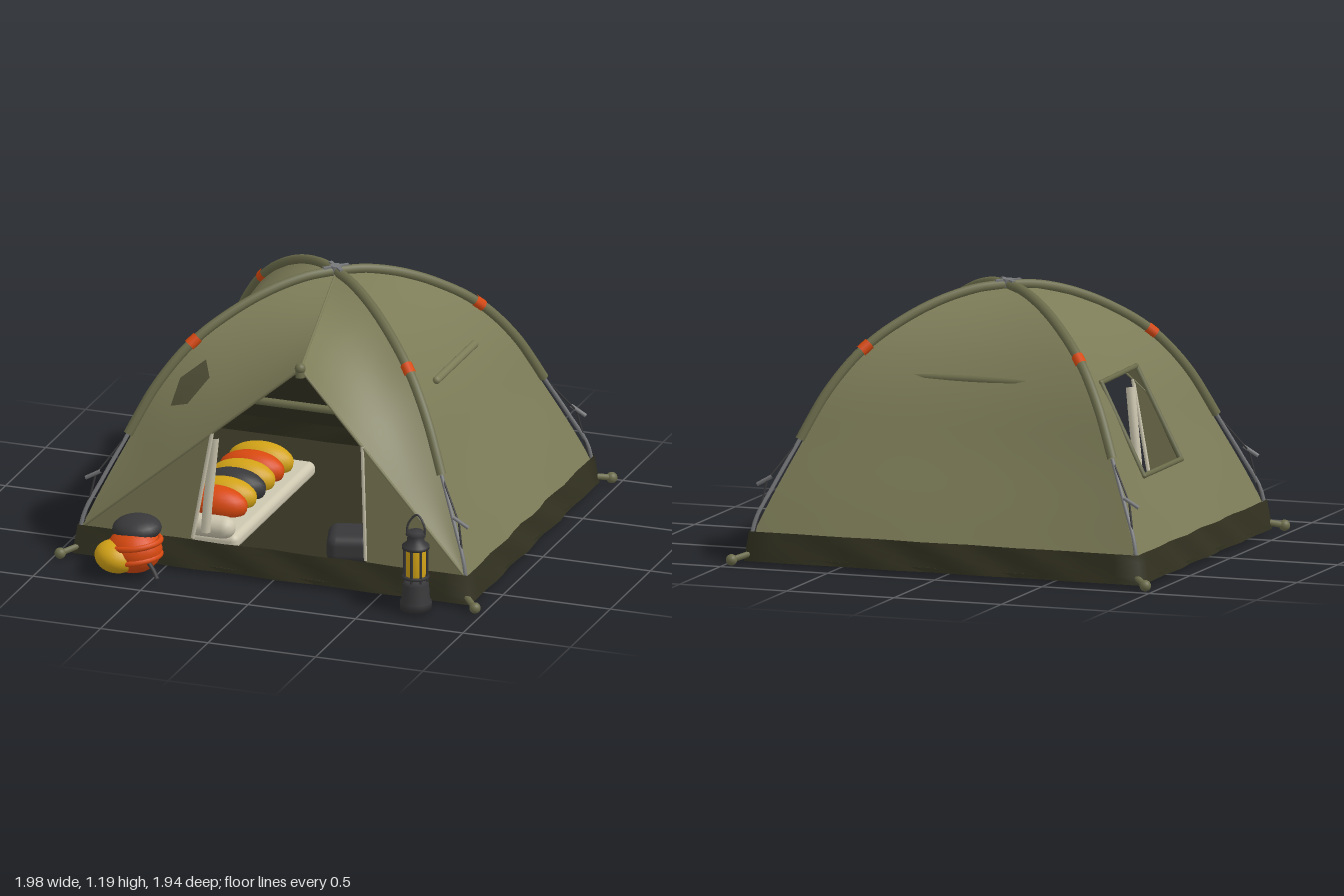
import * as THREE from 'three';
import { RoundedBoxGeometry } from 'three/addons/geometries/RoundedBoxGeometry.js';

const V = (x, y, z) => new THREE.Vector3(x, y, z);
const mat = (name, color, side = THREE.FrontSide) => Object.assign(new THREE.MeshStandardMaterial({ color, side }), { name });

const M = {
  fabric: mat('olive fabric', 0x7d7c58, THREE.DoubleSide),
  sleeve: mat('pole sleeve olive', 0x6b6c4b),
  dark: mat('dark olive', 0x333221, THREE.DoubleSide),
  patch: mat('patch olive', 0x4e4e36, THREE.DoubleSide),
  orange: mat('orange', 0xd9490f),
  yellow: mat('yellow', 0xd2a216),
  black: mat('charcoal', 0x38383a),
  grey: mat('grey metal', 0x77787a),
  cream: mat('cream', 0xcdc7b0),
};

// Dome profile: half width in x against height; depth follows in proportion
const CZ = -0.1, RATIO = 0.875;
const profile = new THREE.CatmullRomCurve3([
  [0, 1.16], [0.12, 1.148], [0.25, 1.1], [0.38, 1.02], [0.5, 0.915],
  [0.62, 0.745], [0.725, 0.52], [0.825, 0.3], [0.895, 0.13],
].map(([x, y]) => V(x, y, 0)));
const pole = (u, sx, sz) => {
  const p = profile.getPointAt(u);
  return V(sx * p.x, p.y, CZ + sz * p.x * RATIO);
};
const uAt = (y) => {
  let a = 0, b = 1;
  for (let i = 0; i < 30; i++) {
    const m = (a + b) / 2;
    if (profile.getPointAt(m).y > y) a = m; else b = m;
  }
  return a;
};

// Surface through f(i, j) with optional missing cells
function grid(f, rows, cols, skip = () => false) {
  const pos = [], idx = [];
  for (let i = 0; i <= rows; i++) for (let j = 0; j <= cols; j++) pos.push(...f(i, j).toArray());
  for (let i = 0; i < rows; i++) for (let j = 0; j < cols; j++) {
    if (skip(i, j)) continue;
    const a = i * (cols + 1) + j, b = a + cols + 1;
    idx.push(a, b, a + 1, b, b + 1, a + 1);
  }
  const g = new THREE.BufferGeometry();
  g.setAttribute('position', new THREE.Float32BufferAttribute(pos, 3));
  g.setIndex(idx);
  g.computeVertexNormals();
  return g;
}

export function createModel() {
  const root = new THREE.Group();
  root.name = 'campTent';
  const add = (name, geo, m, p = [0, 0, 0], r = [0, 0, 0], s = [1, 1, 1], parent = root) => {
    const mesh = new THREE.Mesh(geo, m);
    mesh.name = name;
    mesh.position.set(...p);
    mesh.rotation.set(...r);
    mesh.scale.set(...s);
    parent.add(mesh);
    return mesh;
  };
  const tube = (name, pts, r, m, closed = false, parent = root) =>
    add(name, new THREE.TubeGeometry(new THREE.CatmullRomCurve3(pts, closed, 'centripetal'), Math.max(8, pts.length * 4), r, 8, closed), m, undefined, undefined, undefined, parent);
  const rod = (name, a, b, r, m) => add(name, new THREE.TubeGeometry(new THREE.LineCurve3(a, b), 1, r, 8), m);
  const ball = (name, r, m, p, s, rot, parent) => add(name, new THREE.SphereGeometry(r, 20, 14), m, p, rot, s, parent);

  // Wall panels, drawn in slightly between the poles
  const uTop = uAt(0.82), uBot = uAt(0.42), uLine = uAt(0.87);
  const sag = (u, v) => 0.035 * Math.sin(Math.PI * u) * Math.sin(Math.PI * v);
  const side = (sx) => (u, v) => {
    const p = pole(u, sx, -1).lerp(pole(u, sx, 1), v);
    p.x -= sx * sag(u, v);
    return p;
  };
  const back = (u, v) => {
    const p = pole(u, -1, -1).lerp(pole(u, 1, -1), v);
    p.z += sag(u, v);
    return p;
  };
  const left = side(1), right = side(-1);
  // Columns follow the straight window edges at constant z
  const vAt = (u, z) => {
    const h = profile.getPointAt(Math.max(u, uTop)).x * RATIO;
    return (z - CZ + h) / (2 * h);
  };
  const windowV = (u, j) => {
    const k = [0, vAt(u, -0.43), vAt(u, 0.04), 1], s = Math.min(2, Math.floor(j / 4));
    return THREE.MathUtils.lerp(k[s], k[s + 1], (j - 4 * s) / 4);
  };
  const rowU = (i, start) => {
    const k = [start, uTop, uBot, 1], s = Math.min(2, Math.floor(i / 6));
    return THREE.MathUtils.lerp(k[s], k[s + 1], (i - 6 * s) / 6);
  };
  const hole = (i, j) => i >= 6 && i < 12 && j >= 4 && j < 8;
  for (const [name, f, open] of [['leftWall', left, false], ['rightWall', right, true], ['backWall', back, false]]) {
    const skip = open ? hole : undefined;
    const at = (start) => (i, j) => {
      const u = rowU(i, start);
      return f(u, open ? windowV(u, j) : j / 12);
    };
    add(name, grid(at(0), 18, 12, skip), M.fabric);
    const inner = at(uLine);
    add(name + 'Liner', grid((i, j) => {
      const p = inner(i, j);
      return V(p.x * 0.985, p.y, CZ + (p.z - CZ) * 0.985);
    }, 18, 12, skip), M.dark);
  }

  // Window frame
  const wp = (u, z) => right(u, vAt(u, z)).add(V(-0.004, 0.002, 0));
  const corners = [wp(uTop, -0.43), wp(uTop, 0.04), wp(uBot, 0.04), wp(uBot, -0.43)];
  corners.forEach((c, i) => {
    rod('windowFrame', c, corners[(i + 1) % 4], 0.012, M.sleeve);
    ball('windowFrameCorner', 0.012, M.sleeve, c.toArray());
  });

  // Rolled window flap on the other side
  add('rolledFlap', new THREE.CapsuleGeometry(0.018, 0.47, 6, 12), M.fabric, [0.562, 0.825, -0.085], [Math.PI / 2, 0, 0]);

  // Front canopy: stretched from each front pole to the door edge
  const tip = V(0.12, 1.0, 0.665);
  const canopy = (sx) => (u, v) => {
    const p = pole(u, sx, 1).lerp(tip.clone().lerp(V(sx * 0.895, 0.13, 0.683), u), v);
    p.y -= 0.02 * Math.sin(Math.PI * v) * Math.sin(Math.PI * u);
    return p;
  };
  for (const sx of [-1, 1]) {
    const f = canopy(sx);
    add('frontCanopy', grid((i, j) => f(i / 20, j / 10), 20, 10), M.fabric);
  }
  const ridge = canopy(1);
  tube('canopyRidge', [0, 0.25, 0.5, 0.75, 1].map((v) => ridge(0, v)), 0.006, M.fabric);
  add('canopyTip', new THREE.CylinderGeometry(0.018, 0.022, 0.05, 12), M.sleeve, [0.12, 0.99, 0.67]);
  ball('canopyTipKnob', 0.024, M.sleeve, [0.12, 1.005, 0.67]);

  // Dark vent patch on the canopy
  const ventSurface = canopy(-1);
  const vent = grid((i, j) => {
    const a = (j / 5) * Math.PI * 2, r = i / 4;
    return ventSurface(0.43 + 0.085 * r * Math.cos(a), 0.33 + 0.16 * r * Math.sin(a)).add(V(-0.003, 0.006, 0.006));
  }, 4, 5);
  add('ventPatch', vent, M.patch);

  // Door side panels and their edging
  for (const [sx, ex, ey, bx] of [[-1, -0.29, 0.65, -0.38], [1, 0.41, 0.68, 0.425]]) {
    const s = new THREE.Shape([new THREE.Vector2(ex, ey), new THREE.Vector2(sx * 0.89, 0.13), new THREE.Vector2(bx, 0.13)]);
    add('doorSidePanel', new THREE.ShapeGeometry(s), M.fabric, [0, 0, 0.673]);
    rod('doorEdging', V(ex, ey, 0.67), V(bx, 0.15, 0.67), 0.009, M.cream);
    rod('doorHem', tip, V(sx * 0.89, 0.14, 0.68), 0.007, M.fabric);
  }
  tube('tiedDoorCurtain', [V(-0.29, 0.62, 0.64), V(-0.31, 0.45, 0.63), V(-0.325, 0.3, 0.63), V(-0.335, 0.17, 0.63)], 0.022, M.cream);

  // Dark groundsheet with wavy upright walls
  const tub = grid((i, j) => {
    const q = Math.min(3, Math.floor(j / 16)), t = (j - q * 16) / 16;
    const c = [[-1, 1], [1, 1], [1, -1], [-1, -1], [-1, 1]];
    const k = 0.925 - 0.018 * i / 4 + 0.008 * Math.sin(j * 1.7 + i) * Math.sin(Math.PI * t);
    const x = THREE.MathUtils.lerp(c[q][0], c[q + 1][0], t), z = THREE.MathUtils.lerp(c[q][1], c[q + 1][1], t);
    return V(x * k, 0.02 + 0.13 * i / 4, CZ + z * k * RATIO);
  }, 4, 64);
  add('groundsheetWall', tub, M.dark);
  add('groundsheet', new THREE.BoxGeometry(1.84, 0.02, 1.61), M.dark, [0, 0.03, CZ]);

  // Crossing poles, joints, feet and cords
  const uEnd = uAt(0.53), uJoint = uAt(0.92);
  for (const sx of [-1, 1]) for (const sz of [-1, 1]) {
    const at = (u) => pole(u, sx, sz).add(V(sx * 0.012 * u, 0.012, sz * 0.012 * u));
    tube('poleSleeve', Array.from({ length: 11 }, (_, i) => at(uEnd * i / 10)), 0.022, M.sleeve);
    rod('poleJoint', at(uJoint - 0.015), at(uJoint + 0.015), 0.027, M.orange);
    const foot = V(sx * 0.965, 0.03, CZ + sz * 0.855);
    const base = V(sx * 0.905, 0.05, CZ + sz * 0.795);
    tube('lowerPole', [at(uEnd), at(0.85), at(0.96), base], 0.009, M.grey);
    rod('cornerStrap', base, foot, 0.014, M.sleeve);
    ball('cornerFoot', 0.025, M.sleeve, foot.toArray());
    const ring = V(sx * 0.845, 0.37, CZ + sz * 0.735);
    rod('upperCord', at(uEnd), ring, 0.004, M.black);
    rod('lowerCord', ring, base, 0.005, M.black);
    rod('cordToggle', ring.clone().add(V(-sx * 0.025, 0.02, 0)), ring.clone().add(V(sx * 0.045, -0.02, 0)), 0.009, M.grey);
  }
  add('apexHub', new THREE.CylinderGeometry(0.026, 0.03, 0.035, 12), M.grey, [0, 1.18, CZ]);
  for (const a of [Math.PI / 4, -Math.PI / 4]) add('hubArm', new THREE.BoxGeometry(0.12, 0.012, 0.016), M.grey, [0, 1.19, CZ], [0, a, 0]);

  // Inner frame along the back wall
  const inBack = (y, v) => back(uAt(y), v).add(V(0, 0, 0.035));
  for (const y of [0.82, 0.23]) rod('innerCrossbar', inBack(y, 0.12), inBack(y, 0.88), 0.019, M.sleeve);
  tube('innerUpright', [0.82, 0.65, 0.45, 0.22].map((y) => inBack(y, 0.49)), 0.019, M.sleeve);

  // Bed: mat, quilted sleeping bag and pillow
  add('sleepingMat', new RoundedBoxGeometry(0.4, 0.07, 1.0, 4, 0.03), M.cream, [-0.43, 0.085, 0.02]);
  for (let i = 0; i < 6; i++) {
    const m = [M.yellow, M.orange, M.yellow, M.black, M.yellow, M.orange][i];
    ball('sleepingBagBaffle', 0.15, m, [-0.43, 0.155, -0.32 + i * 0.115], [1, 0.55, 0.55]);
  }
  add('pillow', new THREE.CapsuleGeometry(0.05, 0.13, 6, 14), M.cream, [-0.35, 0.16, 0.53], [0, 0, Math.PI / 2]);

  // Stored gear
  ball('hangingPack', 0.13, M.dark, [0.3, 0.48, -0.25], [0.95, 1.55, 0.8]);
  add('packButton', new THREE.CylinderGeometry(0.025, 0.025, 0.015, 14), M.grey, [0.31, 0.34, -0.155], [Math.PI / 2, 0, 0]);
  add('packStand', new THREE.CylinderGeometry(0.045, 0.06, 0.26, 14), M.black, [0.3, 0.17, -0.25]);
  add('gearCase', new RoundedBoxGeometry(0.2, 0.13, 0.22, 4, 0.045), M.black, [0.26, 0.12, 0.42], [0, 0.3, 0]);

  // Rucksack by the door
  const bag = new THREE.Group();
  bag.name = 'rucksack';
  root.add(bag);
  ball('bagBody', 0.125, M.orange, [-0.6, 0.115, 0.81], [1, 0.82, 0.92], [0, 0, 0.15], bag);
  ball('bagPocket', 0.1, M.yellow, [-0.665, 0.095, 0.865], [0.95, 0.7, 0.95], [0, 0, -0.2], bag);
  ball('bagLid', 0.11, M.black, [-0.6, 0.205, 0.775], [1, 0.5, 0.9], [0.1, 0, 0.05], bag);
  for (const y of [0.085, 0.15]) add('bagStrap', new THREE.TorusGeometry(0.117, 0.014, 8, 28), M.orange, [-0.6, y, 0.81], [Math.PI / 2, 0.15, 0], [1, 0.92, 1], bag);
  tube('bagBuckleStrap', [V(-0.52, 0.1, 0.87), V(-0.48, 0.06, 0.89), V(-0.455, 0.03, 0.91)], 0.01, M.black, false, bag);

  // Lantern
  const lamp = new THREE.Group();
  lamp.name = 'lantern';
  lamp.position.set(0.71, 0, 0.81);
  root.add(lamp);
  const turn = (name, pts, m) => add(name, new THREE.LatheGeometry(pts.map(([x, y]) => new THREE.Vector2(x, y)), 24), m, undefined, undefined, undefined, lamp);
  turn('lanternBase', [[0, 0.015], [0.07, 0.015], [0.07, 0.05], [0.062, 0.06], [0.058, 0.13], [0.05, 0.15], [0, 0.155]], M.black);
  turn('lanternGlass', [[0.04, 0.15], [0.046, 0.19], [0.046, 0.27], [0.04, 0.31]], M.yellow);
  turn('lanternCap', [[0, 0.295], [0.06, 0.295], [0.06, 0.31], [0.04, 0.325], [0.036, 0.355], [0.045, 0.36], [0.035, 0.375], [0, 0.38]], M.black);
  for (let i = 0; i < 8; i++) {
    const a = i * Math.PI / 4;
    add('lanternBar', new THREE.CylinderGeometry(0.006, 0.006, 0.16, 6), M.black, [0.053 * Math.cos(a), 0.225, 0.053 * Math.sin(a)], undefined, undefined, lamp);
  }
  add('lanternCollar', new THREE.TorusGeometry(0.053, 0.008, 6, 24), M.black, [0, 0.165, 0], [Math.PI / 2, 0, 0], undefined, lamp);
  tube('lanternHandle', [V(-0.04, 0.35, 0), V(-0.038, 0.4, -0.005), V(0, 0.445, -0.015), V(0.038, 0.4, -0.005), V(0.04, 0.35, 0)], 0.005, M.black, false, lamp);

  return root;
}
